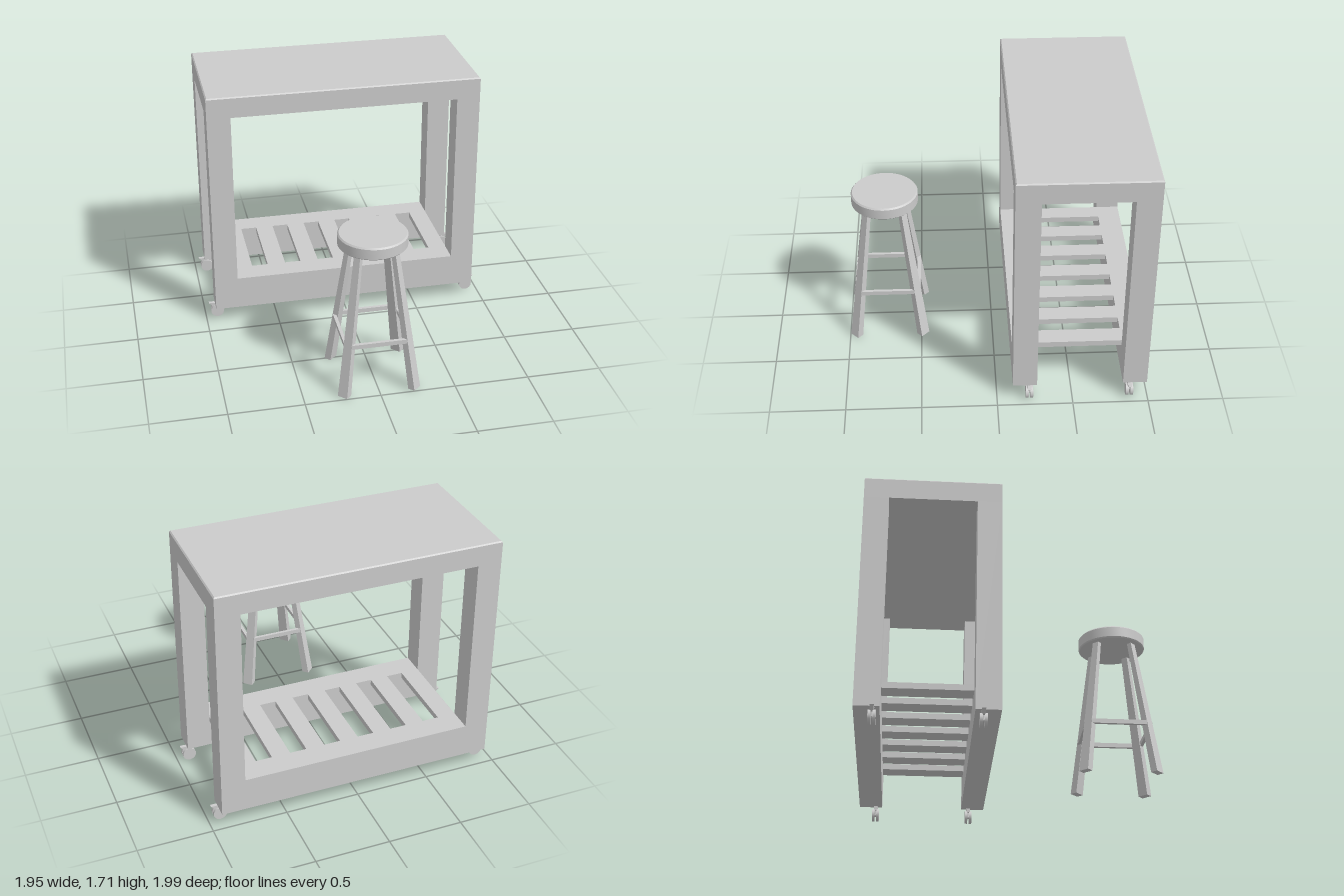
import * as THREE from 'three';
import { toCreasedNormals } from 'three/addons/utils/BufferGeometryUtils.js';

const mat = new THREE.MeshStandardMaterial({ color: 0xcccccc });

function add(parent, name, geometry, x = 0, y = 0, z = 0) {
  const mesh = new THREE.Mesh(geometry, mat);
  mesh.name = name;
  mesh.position.set(x, y, z);
  parent.add(mesh);
  return mesh;
}

// Two-wheel swivel caster, hood pointing to +x
function createCaster() {
  const caster = new THREE.Group();
  caster.name = 'caster';
  const wheel = new THREE.CylinderGeometry(0.045, 0.045, 0.018, 24).rotateX(Math.PI / 2);
  for (const s of [-1, 1]) add(caster, 'casterWheel', wheel, 0, 0.045, s * 0.015);
  add(caster, 'casterAxle', new THREE.CylinderGeometry(0.012, 0.012, 0.03, 12).rotateX(Math.PI / 2), 0, 0.045, 0);
  add(caster, 'casterStem', new THREE.CylinderGeometry(0.014, 0.014, 0.07, 16), 0, 0.08, 0);

  // Wedge-shaped hood over the wheels
  const side = new THREE.Shape();
  side.moveTo(-0.03, 0.075);
  side.lineTo(0.025, 0.075);
  side.lineTo(0.058, 0.105);
  side.lineTo(-0.03, 0.105);
  const hood = new THREE.ExtrudeGeometry(side, { depth: 0.024, bevelEnabled: false });
  add(caster, 'casterHood', hood, 0, 0, -0.012);
  return caster;
}

function createCart() {
  const cart = new THREE.Group();
  cart.name = 'cart';
  const w = 0.935, inner = 0.775, bottom = 0.11, rail = 0.34, under = 1.56, top = 1.705;

  // U-shaped front and back frames: two posts and a lower rail
  const outline = new THREE.Shape([
    [-w, bottom], [w, bottom], [w, under], [inner, under],
    [inner, rail], [-inner, rail], [-inner, under], [-w, under],
  ].map(([x, y]) => new THREE.Vector2(x, y)));
  const frame = new THREE.ExtrudeGeometry(outline, { depth: 0.16, bevelEnabled: false });
  add(cart, 'frontFrame', frame, 0, 0, -0.265);
  add(cart, 'backFrame', frame, 0, 0, -0.995);

  // Thick top with a fine chamfer around the upper edge
  const bevel = 0.008, depth = 0.89;
  add(cart, 'top', new THREE.BoxGeometry(2 * w, top - bevel - under, depth), 0, (top - bevel + under) / 2, -0.55);
  const edge = new THREE.BoxGeometry(2 * w, bevel, depth);
  const p = edge.attributes.position;
  for (let i = 0; i < p.count; i++) {
    if (p.getY(i) > 0) {
      p.setX(i, p.getX(i) - Math.sign(p.getX(i)) * bevel);
      p.setZ(i, p.getZ(i) - Math.sign(p.getZ(i)) * bevel);
    }
  }
  edge.computeVertexNormals();
  add(cart, 'topEdge', edge, 0, top - bevel / 2, -0.55);

  // Slatted lower shelf
  const slat = new THREE.BoxGeometry(0.125, 0.04, 0.57);
  for (let i = -3; i <= 3; i++) add(cart, 'shelfSlat', slat, i * 0.2375, 0.32, -0.55);

  // Casters at the four corners
  for (const s of [-1, 1]) {
    for (const z of [-0.215, -0.88]) {
      const caster = createCaster();
      caster.position.set(s * 0.918, 0, z);
      if (s < 0) caster.rotation.y = Math.PI;
      cart.add(caster);
    }
  }
  return cart;
}

function createStool() {
  const stool = new THREE.Group();
  stool.name = 'stool';
  stool.position.z = 0.722;

  // Round seat with softened rims
  const profile = [
    [0, 0.975], [0.219, 0.975], [0.226, 0.982], [0.226, 1.05], [0.217, 1.06], [0, 1.06],
  ].map(([r, y]) => new THREE.Vector2(r, y));
  add(stool, 'seat', toCreasedNormals(new THREE.LatheGeometry(profile, 48), 0.5));

  // Tapered leg leaning inward, flat at the floor
  const height = 0.98;
  const leg = new THREE.BoxGeometry(1, 1, 1);
  const p = leg.attributes.position;
  for (let i = 0; i < p.count; i++) {
    const t = p.getY(i) + 0.5;
    const radius = THREE.MathUtils.lerp(0.33, 0.165, t);
    const thick = THREE.MathUtils.lerp(0.048, 0.032, t);
    const wide = THREE.MathUtils.lerp(0.072, 0.046, t);
    p.setXYZ(i, radius + p.getX(i) * thick, t * height, p.getZ(i) * wide);
  }
  leg.computeVertexNormals();

  // Four diagonal legs joined by four stretchers
  const bar = new THREE.BoxGeometry(0.37, 0.03, 0.022);
  for (let i = 0; i < 4; i++) {
    add(stool, 'stoolLeg', leg).rotation.y = Math.PI / 4 + i * Math.PI / 2;
    const side = new THREE.Group();
    side.name = 'stretcher';
    side.rotation.y = i * Math.PI / 2;
    add(side, 'stretcherBar', bar, 0, 0.356, 0.215);
    stool.add(side);
  }
  return stool;
}

export function createModel() {
  const model = new THREE.Group();
  model.name = 'kitchenCartAndStool';
  model.add(createCart(), createStool());
  return model;
}
